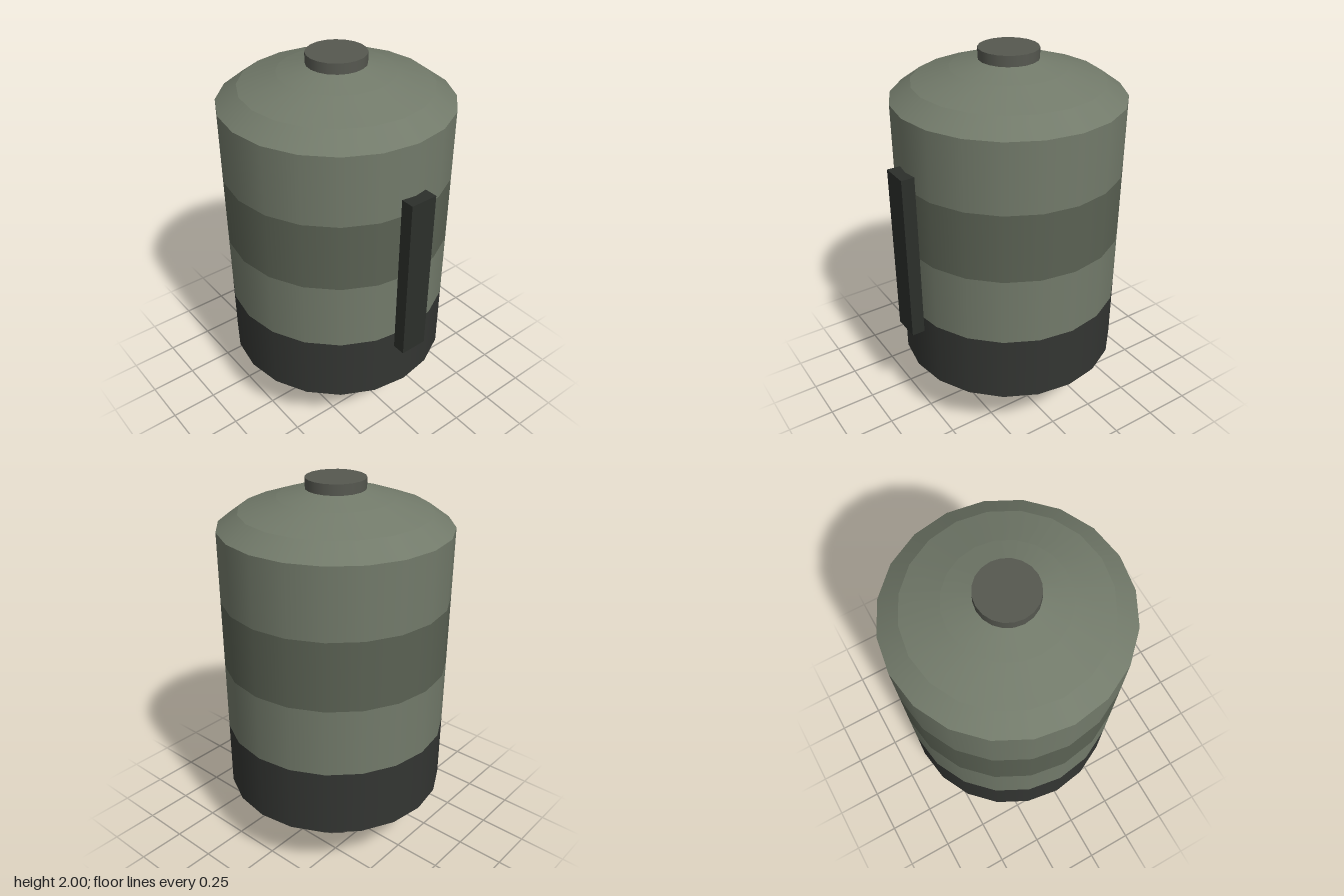
import * as THREE from 'three';

const SIDES = 20;
const R = 0.587;

const paint = (color) => new THREE.MeshStandardMaterial({ color, side: THREE.DoubleSide });
const olive = paint(0x727a6a);
const oliveDark = paint(0x5a6153);
const charcoal = paint(0x333532);
const black = paint(0x2c2f2b);
const capGrey = paint(0x565850);
const bellGrey = paint(0x4c4944);

export function createModel() {
  const model = new THREE.Group();
  model.name = 'propulsionStage';

  // everything round shares one axis, set slightly back to balance the raceway
  const body = new THREE.Group();
  body.name = 'body';
  body.position.z = -0.03;
  model.add(body);

  const add = (parent, name, geometry, material) => {
    const mesh = new THREE.Mesh(geometry, material);
    mesh.name = name;
    parent.add(mesh);
    return mesh;
  };

  // ring section between two heights, sharp against its neighbours
  const section = (name, r0, y0, r1, y1, material, open = true) => {
    const geometry = new THREE.CylinderGeometry(r1, r0, y1 - y0, SIDES, 1, open);
    add(body, name, geometry, material).position.y = (y0 + y1) / 2;
  };

  // tank wall: four painted bands
  section('lowerSkirt', R, 0.325, R, 0.683, charcoal);
  section('lowerBand', R, 0.683, R, 1.043, olive);
  section('middleBand', R, 1.043, R, 1.404, oliveDark);
  section('upperBand', R, 1.404, R, 1.765, olive);

  // flat underside
  const base = new THREE.CircleGeometry(R, SIDES).rotateX(Math.PI / 2);
  add(body, 'underside', base, charcoal).position.y = 0.325;

  // faceted dome
  const dome = [[R, 1.765], [0.48, 1.842], [0.29, 1.908], [0.145, 1.948]];
  for (let i = 0; i < dome.length - 1; i++) {
    section('domeRing' + (i + 1), ...dome[i], ...dome[i + 1], olive);
  }

  // docking cap
  section('topCap', 0.15, 1.93, 0.15, 2, capGrey, false);

  // engine bell: outer wall, thin lip and hollow inside
  const outer = [[0.085, 0.335], [0.125, 0.21], [0.18, 0.09], [0.212, 0]];
  const toPoints = (pairs) => pairs.map(([x, y]) => new THREE.Vector2(x, y));
  const wall = (name, pairs) =>
    add(body, name, new THREE.LatheGeometry(toPoints(pairs), SIDES), bellGrey);
  wall('bellOuter', [...outer].reverse());
  wall('bellLip', [[0.195, 0], [0.212, 0]]);
  wall('bellInner', outer.map(([x, y]) => [x - 0.017, y]));

  // raceway along the front
  const raceway = add(model, 'raceway', new THREE.BoxGeometry(0.146, 0.9, 0.115), black);
  raceway.position.set(0, 1.045, 0.557);

  return model;
}
